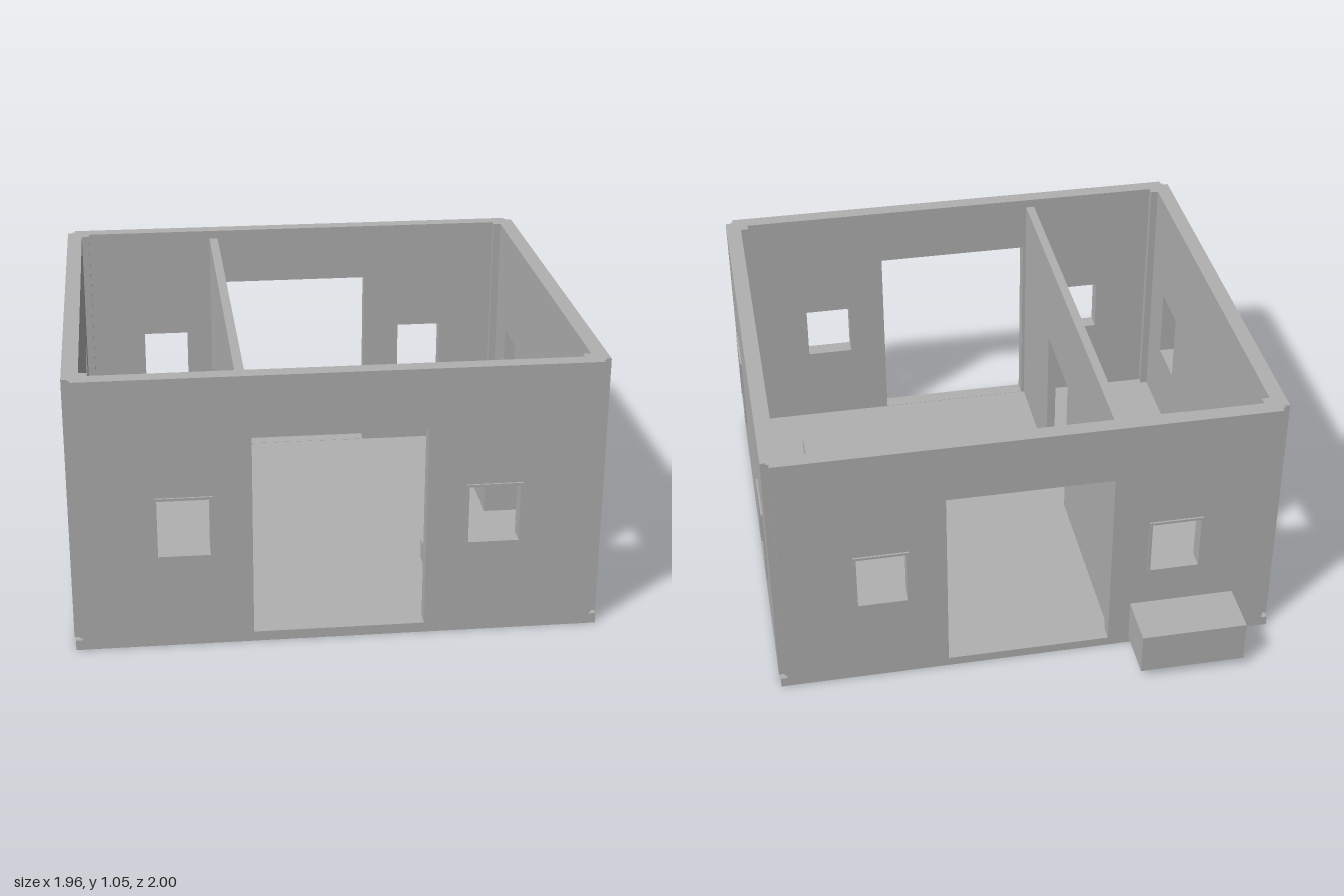
import * as THREE from 'three';

const FLOOR = 0.04, TOP = 1.055, THICK = 0.06;
const HALF_X = 0.975, HALF_Z = 0.895, MID_Z = 0.098; // outer wall size and centre
const POST = 0.09, FRAME = 0.01, PROUD = 0.007;

// Rectangle as a closed list of points
function rect(x0, x1, y0, y1) {
  return [[x0, y0], [x1, y0], [x1, y1], [x0, y1]].map(p => new THREE.Vector2(...p));
}

// Flat panel with rectangular openings
function panel(outer, holes, depth) {
  const shape = new THREE.Shape(rect(...outer));
  holes.forEach(h => shape.holes.push(new THREE.Path(rect(...h))));
  return new THREE.ExtrudeGeometry(shape, { depth, bevelEnabled: false });
}

export function createModel() {
  const group = new THREE.Group();
  const grey = new THREE.MeshStandardMaterial({ color: 0xb0b0b0 });
  grey.name = 'plain grey';

  function add(name, geometry, parent = group) {
    const mesh = new THREE.Mesh(geometry, grey);
    mesh.name = name;
    parent.add(mesh);
    return mesh;
  }
  function box(name, x0, x1, y0, y1, z0, z1) {
    add(name, new THREE.BoxGeometry(x1 - x0, y1 - y0, z1 - z0))
      .position.set((x0 + x1) / 2, (y0 + y1) / 2, (z0 + z1) / 2);
  }

  // Outer wall with thin raised window frames, its outer face at local z = 0
  function wall(name, half, windows, doors, angle, x, z) {
    const side = new THREE.Group();
    side.name = name;
    add(name + 'Panel', panel([-half, half, FLOOR, TOP], [...windows, ...doors], THICK), side)
      .position.z = -THICK;
    for (const [x0, x1, y0, y1] of windows) {
      const rim = [x0 - FRAME, x1 + FRAME, y0 - FRAME, y1 + FRAME];
      add('windowFrame', panel(rim, [[x0, x1, y0, y1]], PROUD), side);
    }
    side.rotation.y = angle;
    side.position.set(x, 0, z);
    group.add(side);
  }

  // Floor slab
  box('floorSlab', -0.97, 0.97, 0, FLOOR, MID_Z - 0.89, MID_Z + 0.89);

  // Four walls
  const endWindows = [-0.565, 0.565].map(c => [c - 0.095, c + 0.095, 0.37, 0.59]);
  const sideWindows = [-0.517, 0.517].map(c => [c - 0.103, c + 0.103, 0.34, 0.63]);
  const door = [-0.317, 0.317, FLOOR + 0.001, 0.82];
  const lenX = HALF_X - POST, lenZ = HALF_Z - POST;
  wall('frontWall', lenX, endWindows, [door], 0, 0, MID_Z + HALF_Z);
  wall('backWall', lenX, endWindows, [door], Math.PI, 0, MID_Z - HALF_Z);
  wall('rightSideWall', lenZ, sideWindows, [], Math.PI / 2, HALF_X, MID_Z);
  wall('leftSideWall', lenZ, sideWindows, [], -Math.PI / 2, -HALF_X, MID_Z);

  // Corner posts, stepped on the outside and square on the inside
  const steps = [[POST, 0], [0.03, 0], [0.03, 0.02], [0.02, 0.02], [0.02, 0.03], [0, 0.03], [0, POST], [POST, POST]];
  for (const sx of [-1, 1]) for (const sz of [-1, 1]) {
    const shape = new THREE.Shape(steps.map(([u, v]) =>
      new THREE.Vector2(sx * (HALF_X - u), -(MID_Z + sz * (HALF_Z - v)))));
    const geometry = new THREE.ExtrudeGeometry(shape, { depth: TOP - FLOOR, bevelEnabled: false });
    geometry.rotateX(-Math.PI / 2);
    add('cornerPost', geometry).position.y = FLOOR;
  }

  // Inner partition with a doorway; local x runs towards -z
  const partition = add('partition',
    panel([-0.933, 0.737, FLOOR, 1.02], [[-0.43, -0.06, FLOOR + 0.001, 0.66]], 0.035));
  partition.rotation.y = Math.PI / 2;
  partition.position.x = -0.365;

  // Blocks inside the rooms and the step block behind
  box('leftRoomBlock', -0.915, -0.73, FLOOR, 0.30, -0.13, 0.285);
  box('rightRoomBlock', 0.725, 0.915, FLOOR, 0.30, -0.39, 0.075);
  box('lowBlock', 0.39, 0.735, FLOOR, 0.12, 0.46, 0.66);
  box('rearBlock', -0.81, -0.4, 0.035, 0.205, -1, MID_Z - HALF_Z);

  return group;
}
